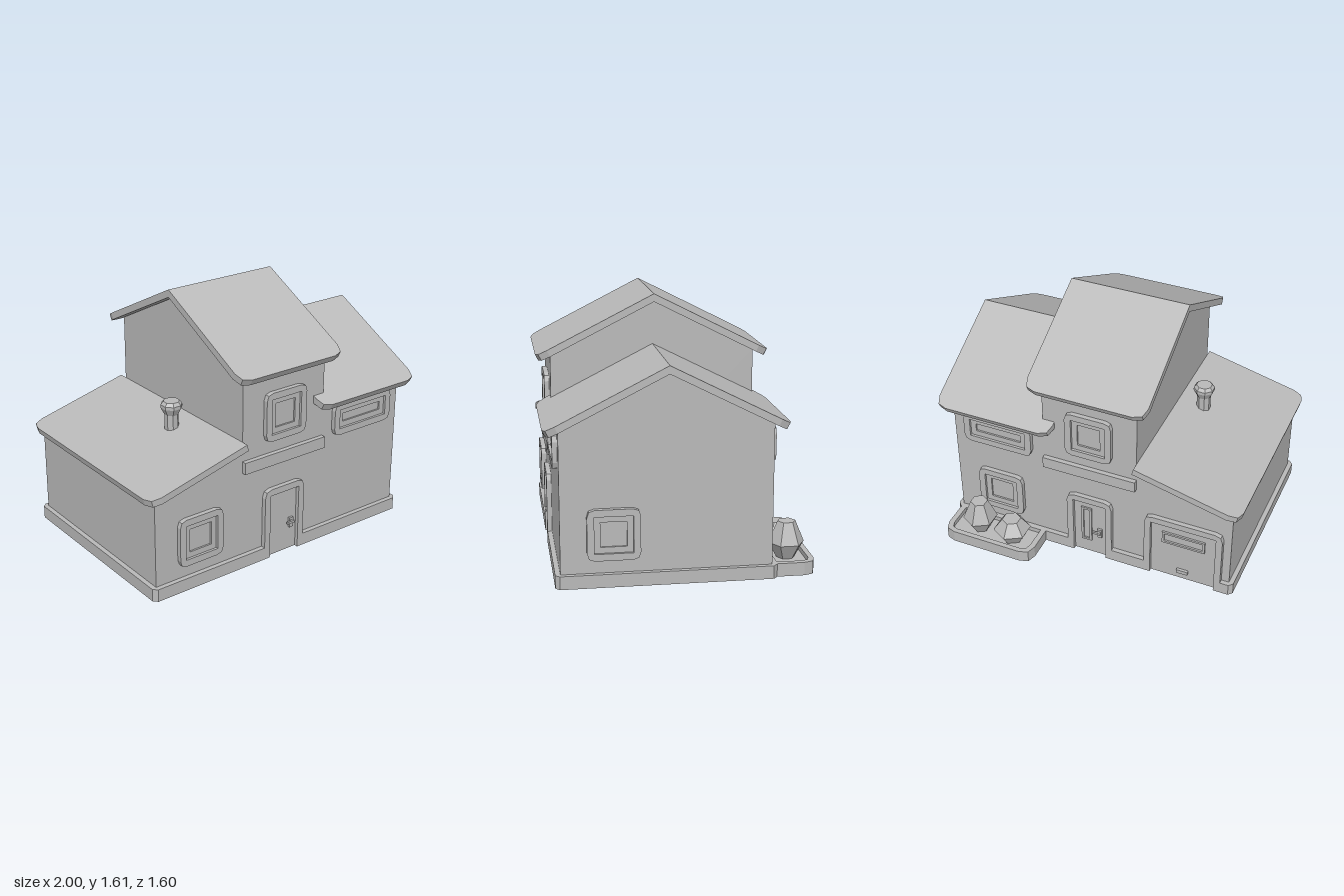
import * as THREE from 'three';

const grey = new THREE.MeshStandardMaterial({ color: 0xbababa });
grey.name = 'plain grey';

function add(parent, name, geometry, x = 0, y = 0, z = 0) {
  const mesh = new THREE.Mesh(geometry, grey);
  mesh.name = name;
  mesh.position.set(x, y, z);
  parent.add(mesh);
  return mesh;
}

const box = (w, h, d) => new THREE.BoxGeometry(w, h, d);
const extrude = (shape, depth) =>
  new THREE.ExtrudeGeometry(shape, { depth, bevelEnabled: false, curveSegments: 2 });
const polygon = (pts) => new THREE.Shape(pts.map(([x, y]) => new THREE.Vector2(x, y)));

// Rectangle with a separate radius for bottom-left, bottom-right, top-right, top-left
function roundRect(x0, y0, x1, y1, [bl, br, tr, tl]) {
  const s = new THREE.Shape();
  s.moveTo(x0 + bl, y0);
  s.lineTo(x1 - br, y0);
  if (br) s.quadraticCurveTo(x1, y0, x1, y0 + br);
  s.lineTo(x1, y1 - tr);
  if (tr) s.quadraticCurveTo(x1, y1, x1 - tr, y1);
  s.lineTo(x0 + tl, y1);
  if (tl) s.quadraticCurveTo(x0, y1, x0, y1 - tl);
  s.lineTo(x0, y0 + bl);
  if (bl) s.quadraticCurveTo(x0, y0, x0 + bl, y0);
  return s;
}

// Rectangular ring centred on the origin, projecting towards +z
function ring(w, h, border, radius, depth) {
  const s = roundRect(-w / 2, -h / 2, w / 2, h / 2, [radius, radius, radius, radius]);
  const a = w / 2 - border, b = h / 2 - border;
  s.holes.push(polygon([[-a, -b], [-a, b], [a, b], [a, -b]]));
  return extrude(s, depth);
}

// Gabled wall block running along x
function gableWalls(parent, name, x0, x1, ridge) {
  const eave = ridge - 0.62 * 0.507;
  const g = extrude(polygon([[-0.71, 0], [0.53, 0], [0.53, eave], [-0.09, ridge], [-0.71, eave]]), x1 - x0);
  g.rotateY(Math.PI / 2);
  add(parent, name, g, x0);
}

// Two sloping slabs with rounded eave corners
function gableRoof(parent, name, x0, x1, ridge) {
  const roof = new THREE.Group();
  roof.name = name;
  const w = (x1 - x0) / 2, length = 0.796;
  for (const turn of [0, Math.PI]) {
    const g = extrude(roundRect(-w, -length, w, 0, [0.075, 0.075, 0, 0]), 0.043);
    g.translate(0, 0, -0.043).rotateX(-Math.PI / 2 + Math.atan(0.36 / 0.71)).rotateY(turn);
    add(roof, turn ? 'backSlope' : 'frontSlope', g);
  }
  roof.position.set((x0 + x1) / 2, ridge, 0.09);
  parent.add(roof);
}

// Window: raised surround, inner sash and glass panel
function windowUnit(parent, name, w, h, x, y, z, turn) {
  const g = new THREE.Group();
  g.name = name;
  add(g, 'surround', ring(w, h, 0.042, 0.045, 0.03));
  add(g, 'sash', ring(w - 0.084, h - 0.084, 0.036, 0, 0.014));
  add(g, 'pane', box(w - 0.15, h - 0.15, 0.006));
  g.position.set(x, y, z);
  g.rotation.y = turn;
  parent.add(g);
}

// Doorway: surround with rounded top corners and a flat door panel
function doorway(parent, name, w, h, x, z, turn) {
  const g = new THREE.Group();
  g.name = name;
  const a = w / 2, b = a - 0.042, r = 0.05, s = new THREE.Shape();
  s.moveTo(-a, 0);
  s.lineTo(-a, h - r);
  s.quadraticCurveTo(-a, h, -a + r, h);
  s.lineTo(a - r, h);
  s.quadraticCurveTo(a, h, a, h - r);
  s.lineTo(a, 0);
  s.lineTo(b, 0);
  s.lineTo(b, h - 0.042);
  s.lineTo(-b, h - 0.042);
  s.lineTo(-b, 0);
  add(g, 'doorSurround', extrude(s, 0.03));
  add(g, 'doorPanel', box(2 * b, h - 0.042, 0.012), 0, (h - 0.042) / 2, 0);
  g.position.set(x, 0, z);
  g.rotation.y = turn;
  parent.add(g);
  return g;
}

function doorHandle(door) {
  add(door, 'handlePlate', box(0.03, 0.065, 0.016), 0.066, 0.184, 0.012);
  add(door, 'handleLever', box(0.055, 0.015, 0.012), 0.05, 0.195, 0.032);
  add(door, 'handleStem', box(0.014, 0.014, 0.02), 0.066, 0.195, 0.025);
}

// Faceted turned solid
function faceted(profile, sides, phase = 0) {
  const pts = profile.map(([r, y]) => new THREE.Vector2(r, y));
  const g = new THREE.LatheGeometry(pts, sides, phase).toNonIndexed();
  g.computeVertexNormals();
  return g;
}

export function createModel() {
  const house = new THREE.Group();
  house.name = 'house';
  const FRONT = 0.71, BACK = -0.53, MID = -0.012;

  // Plinth, notched at the doorways (outline uses -z)
  const c = 0.025, d0 = MID - 0.152, d1 = MID + 0.152, gx0 = -0.895, gx1 = -0.385;
  const plinth = polygon([
    [-0.975 + c, -0.74], [d0, -0.74], [d0, -FRONT], [d1, -FRONT], [d1, -0.74],
    [0.95 - c, -0.74], [0.95, -0.74 + c], [0.95, 0.56 - c], [0.95 - c, 0.56],
    [d1, 0.56], [d1, -BACK], [d0, -BACK], [d0, 0.56],
    [gx1, 0.56], [gx1, -BACK], [gx0, -BACK], [gx0, 0.56],
    [-0.975 + c, 0.56], [-0.975, 0.56 - c], [-0.975, -0.74 + c],
  ]);
  add(house, 'plinth', extrude(plinth, 0.08).rotateX(-Math.PI / 2));

  // Walls
  gableWalls(house, 'towerWalls', -0.32, 0.298, 1.56);
  gableWalls(house, 'wingWalls', 0.29, 0.92, 1.25);
  add(house, 'garageWalls',
    extrude(polygon([[-0.945, 0], [-0.315, 0], [-0.315, 0.79], [-0.945, 0.632]]), FRONT - BACK), 0, 0, BACK);

  // Roofs
  gableRoof(house, 'towerRoof', -0.4, 0.375, 1.61);
  gableRoof(house, 'wingRoof', 0.22, 1.0, 1.297);
  const shed = extrude(roundRect(-0.7, -0.755, 0, 0.585, [0.075, 0, 0, 0.075]), 0.042);
  shed.translate(0, 0, -0.042).rotateX(-Math.PI / 2).rotateZ(Math.atan(0.17 / 0.68));
  add(house, 'garageRoof', shed, -0.32, 0.827, 0);

  // Windows and bands shared by front and back
  for (const [side, z, turn, dir] of [['front', FRONT, 0, 1], ['back', BACK, Math.PI, -1]]) {
    windowUnit(house, side + 'TowerWindow', 0.305, 0.31, MID, 0.94, z, turn);
    windowUnit(house, side + 'WingWindow', 0.465, 0.21, 0.608, 0.783, z, turn);
    add(house, side + 'Band', box(0.617, 0.075, 0.03), MID, 0.664, z + dir * 0.015);
  }
  windowUnit(house, 'garageFrontWindow', 0.31, 0.305, -0.635, 0.314, FRONT, 0);
  windowUnit(house, 'lowerBackWindow', 0.31, 0.305, 0.608, 0.314, BACK, Math.PI);
  windowUnit(house, 'sideWindow', 0.31, 0.305, 0.92, 0.314, 0.402, Math.PI / 2);

  // Doors
  doorHandle(doorway(house, 'frontDoor', 0.304, 0.465, MID, FRONT, 0));
  const backDoor = doorway(house, 'backDoor', 0.304, 0.465, MID, BACK, Math.PI);
  doorHandle(backDoor);
  add(backDoor, 'doorWindowFrame', ring(0.07, 0.27, 0.015, 0, 0.016), -0.025, 0.235, 0);
  const garage = doorway(house, 'garageDoor', gx1 - gx0, 0.465, (gx0 + gx1) / 2, BACK, Math.PI);
  add(garage, 'garageWindowFrame', ring(0.28, 0.085, 0.014, 0, 0.018), 0, 0.315, 0);
  add(garage, 'garageHandle', box(0.075, 0.025, 0.025), 0, 0.065, 0.012);

  // Planter with faceted shrubs
  const rim = roundRect(0.3, 0.55, 0.92, 0.8, [0, 0, 0.075, 0.075]);
  rim.holes.push(roundRect(0.335, 0.565, 0.885, 0.768, [0, 0, 0.05, 0.05]));
  add(house, 'planterRim', extrude(rim, 0.08).rotateX(-Math.PI / 2));
  add(house, 'planterSoil',
    extrude(roundRect(0.32, 0.555, 0.9, 0.78, [0, 0, 0.06, 0.06]), 0.05).rotateX(-Math.PI / 2));
  add(house, 'lowShrub', faceted([[0, 0.04], [0.07, 0.04], [0.12, 0.125], [0.06, 0.205], [0, 0.205]], 6), 0.49, 0, -0.66);
  add(house, 'tallShrub', faceted([[0, 0.04], [0.05, 0.04], [0.11, 0.145], [0.055, 0.277], [0, 0.277]], 6), 0.72, 0, -0.66);

  // Chimney
  add(house, 'chimney', faceted(
    [[0, 0.72], [0.044, 0.72], [0.044, 0.875], [0.067, 0.92], [0.067, 0.94], [0.05, 0.96], [0, 0.96]],
    8, Math.PI / 8), -0.475, 0, 0.213);

  return house;
}
